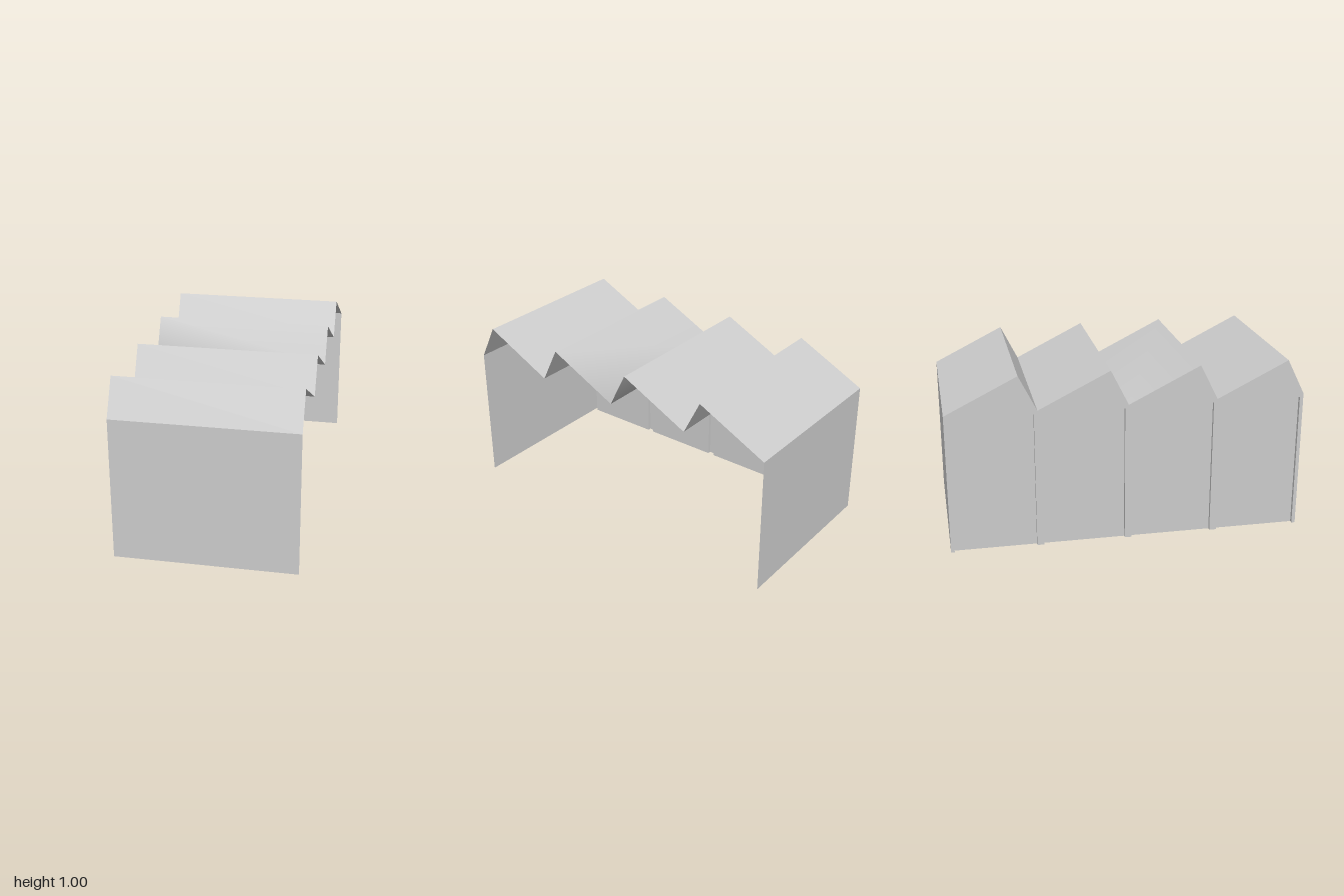
import * as THREE from 'three';

const HALF_WIDTH = 0.5, EAVE = 0.8, RIDGE = 1, BAY = 0.5, BAYS = 4;
const POST = 0.02, RECESS = 0.02, PANEL_TOP = 0.78;

const material = new THREE.MeshStandardMaterial({ color: 0xcccccc, side: THREE.DoubleSide });

// Sheet swept along x from a [z, y] profile; smooth sheets share their corner normals
function sheet(profile, x0 = -HALF_WIDTH, x1 = HALF_WIDTH, smooth = false) {
  const positions = profile.flatMap(([z, y]) => [x0, y, z, x1, y, z]);
  const index = [];
  for (let i = 0; i < profile.length - 1; i++) {
    const a = i * 2;
    index.push(a, a + 2, a + 3, a, a + 3, a + 1);
  }
  const indexed = new THREE.BufferGeometry();
  indexed.setAttribute('position', new THREE.Float32BufferAttribute(positions, 3));
  indexed.setIndex(index);
  const geometry = smooth ? indexed : indexed.toNonIndexed();
  geometry.computeVertexNormals();
  return geometry;
}

export function createModel() {
  const group = new THREE.Group();
  const add = (name, geometry) => {
    const mesh = new THREE.Mesh(geometry, material);
    mesh.name = name;
    group.add(mesh);
    return mesh;
  };

  // End walls
  add('frontWall', sheet([[1, EAVE], [1, 0]]));
  add('backWall', sheet([[-1, 0], [-1, EAVE]]));

  // Sawtooth roof: long slope up to each ridge, short steep slope down to the valley
  const roof = [[-1, EAVE]];
  for (let i = 0; i < BAYS; i++) {
    const z = -1 + i * BAY;
    roof.push([z + 0.4, RIDGE], [z + BAY, EAVE]);
  }
  add('backRoof', sheet(roof.slice(0, 4)));
  add('middleValleyRoof', sheet(roof.slice(3, 6), -HALF_WIDTH, HALF_WIDTH, true));
  add('frontRoof', sheet(roof.slice(5)));

  // Side wall frame: gables, lintel and posts in one outline, open at the bottom of each bay
  const outline = roof.map(([z, y]) => new THREE.Vector2(z, y));
  outline.push(new THREE.Vector2(1, 0));
  for (let i = BAYS - 1; i >= 0; i--) {
    const z0 = -1 + i * BAY + POST, z1 = z0 + BAY - 2 * POST;
    for (const [z, y] of [[z1, 0], [z1, PANEL_TOP], [z0, PANEL_TOP], [z0, 0]])
      outline.push(new THREE.Vector2(z, y));

    // Recessed panel and the reveal around it
    const reveal = [[z1, 0], [z1, PANEL_TOP], [z0, PANEL_TOP], [z0, 0]];
    add('panelReveal', sheet(reveal, -HALF_WIDTH, -HALF_WIDTH + RECESS));
    const panel = add('wallPanel', new THREE.PlaneGeometry(z1 - z0, PANEL_TOP).rotateY(-Math.PI / 2));
    panel.position.set(-HALF_WIDTH + RECESS, PANEL_TOP / 2, (z0 + z1) / 2);
  }
  outline.push(new THREE.Vector2(-1, 0));
  const frame = add('sideWallFrame', new THREE.ShapeGeometry(new THREE.Shape(outline)).rotateY(-Math.PI / 2));
  frame.position.x = -HALF_WIDTH;

  return group;
}
